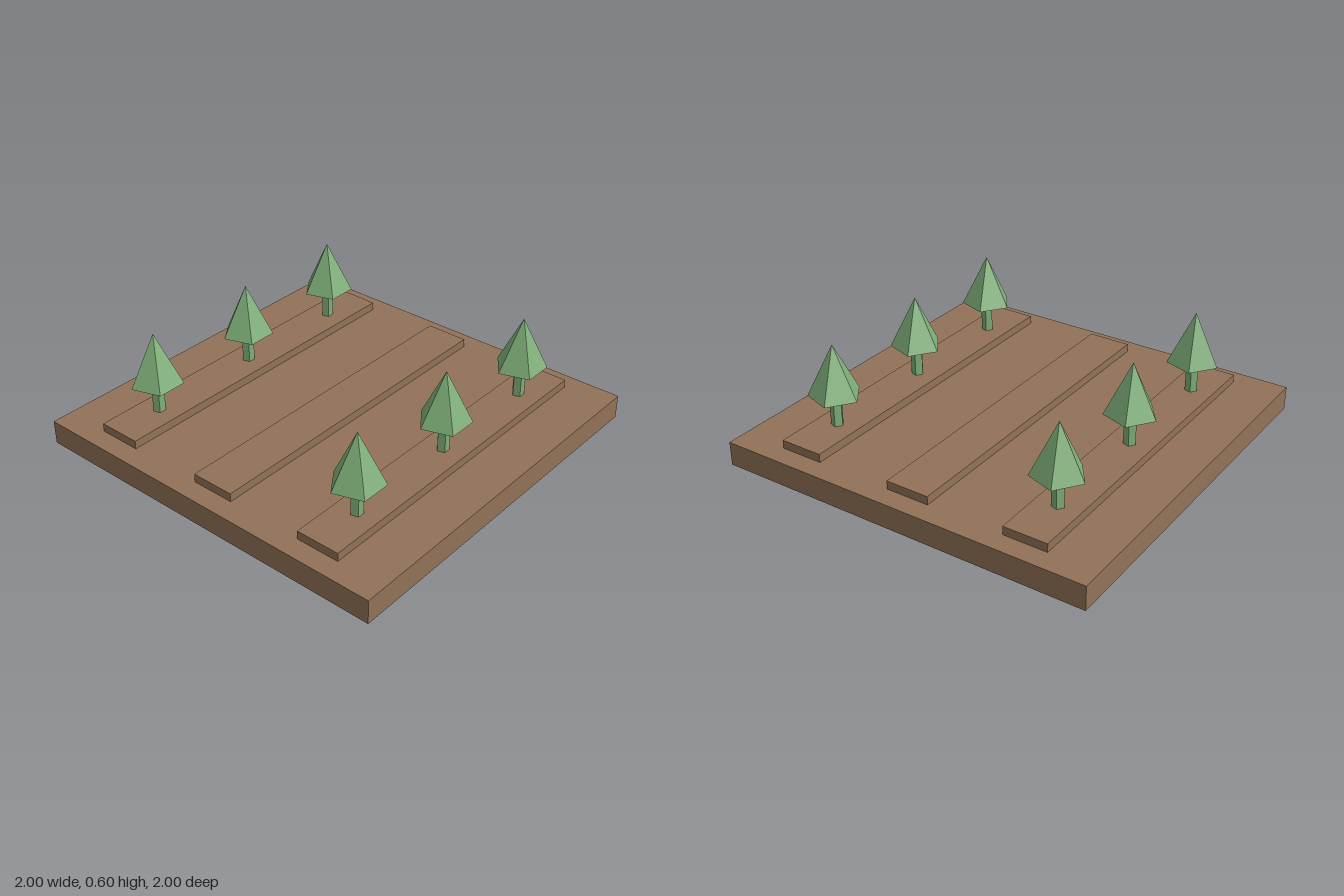
import * as THREE from 'three';

export function createModel() {
  const soil = new THREE.MeshStandardMaterial({ color: 0x927258 });
  soil.name = 'soil brown';
  const leaf = new THREE.MeshStandardMaterial({ color: 0x80b07a });
  leaf.name = 'plant green';

  const model = new THREE.Group();
  model.name = 'plantedPlot';

  const BASE = 0.126, BED_TOP = 0.17, CROWN = 0.33, TIP = 0.6, SPACING = 0.632;

  function add(parent, name, geometry, material, x, y, z) {
    const mesh = new THREE.Mesh(geometry, material);
    mesh.name = name;
    mesh.position.set(x, y, z);
    parent.add(mesh);
  }

  // Faceted five-sided shapes, with one corner pointing to the back
  function fiveSided(topRadius, bottomRadius, height) {
    const g = new THREE.CylinderGeometry(topRadius, bottomRadius, height, 5, 1, false, Math.PI).toNonIndexed();
    g.computeVertexNormals();
    return g;
  }

  // Ground slab
  add(model, 'ground', new THREE.BoxGeometry(2, BASE, 2), soil, 0, BASE / 2, 0);

  // Three raised beds
  const bed = new THREE.BoxGeometry(1.79, BED_TOP - BASE, 0.23);
  for (const row of [-1, 0, 1]) {
    add(model, 'raisedBed', bed, soil, 0, (BASE + BED_TOP) / 2, row * SPACING);
  }

  // Saplings on the front and back beds
  const stem = fiveSided(0.032, 0.032, CROWN - BED_TOP);
  const crown = fiveSided(0, 0.134, TIP - CROWN);
  for (const row of [-1, 1]) {
    for (const column of [-1, 0, 1]) {
      const sapling = new THREE.Group();
      sapling.name = 'sapling';
      sapling.position.set(column * SPACING, 0, row * SPACING);
      add(sapling, 'stem', stem, leaf, 0, (BED_TOP + CROWN) / 2, 0);
      add(sapling, 'crown', crown, leaf, 0, (CROWN + TIP) / 2, 0);
      model.add(sapling);
    }
  }
  return model;
}
